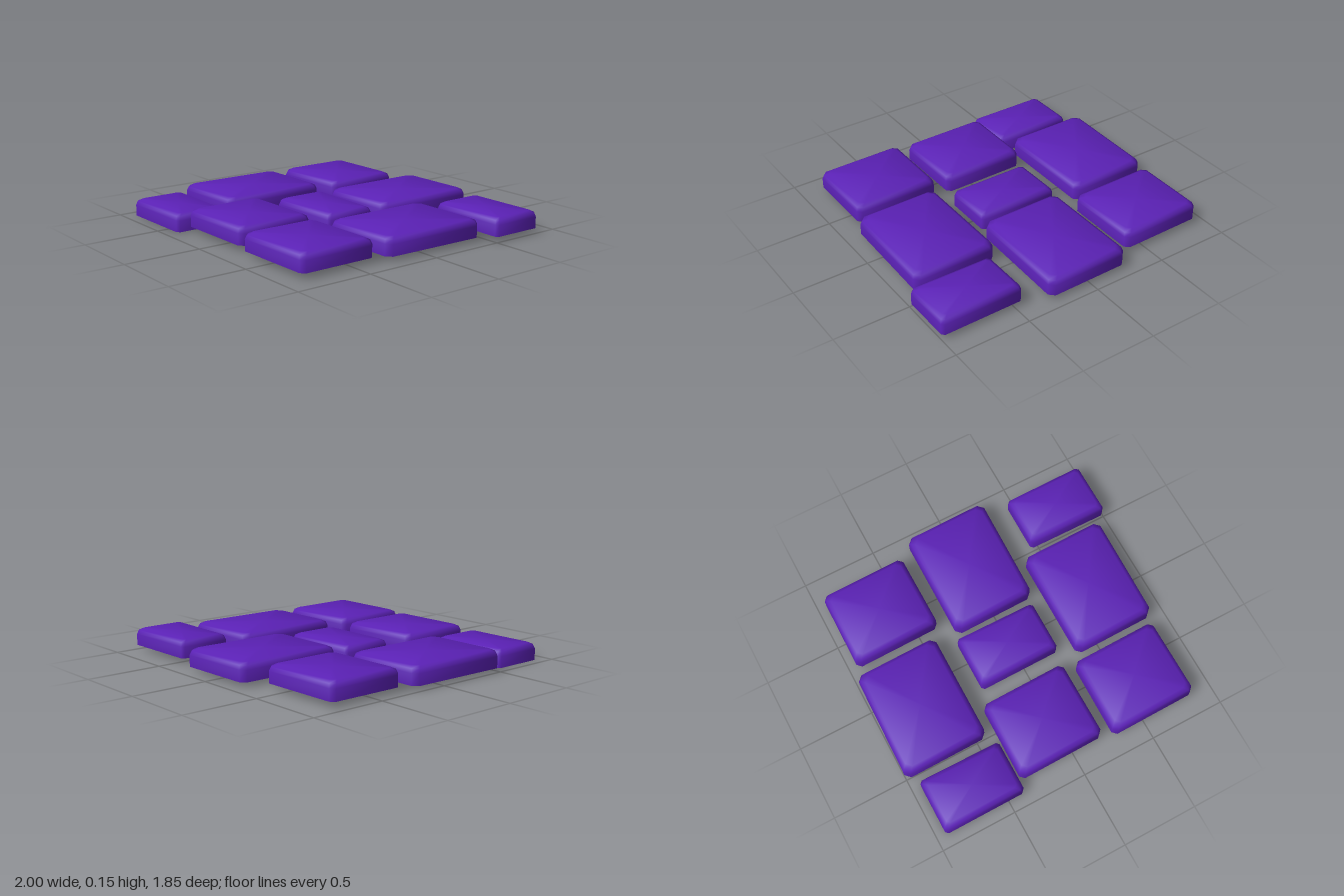
import * as THREE from 'three';

// Slightly irregular outlines: corners back-left, back-right, front-right, front-left (x, z)
const OUTLINES = {
  large: [[-0.282, -0.362], [0.287, -0.367], [0.272, 0.36], [-0.285, 0.366]],
  medium: [[-0.288, -0.257], [0.289, -0.264], [0.291, 0.257], [-0.293, 0.263]],
  small: [[-0.277, -0.179], [0.275, -0.171], [0.274, 0.177], [-0.277, 0.179]],
};
const CHAMFER = { large: 0.034, medium: 0.028, small: 0.018 };

// Rings from the open rim to the top: height, inset, upward tilt of the normal
const RINGS = [[0, 0, 0], [0.074, 0, 0.2], [0.1, 0.009, 0.8], [0.114, 0.034, 2.8]];

// Cuts each corner of the outline into two points
function chamferedOutline(corners, c) {
  const pts = [];
  corners.forEach(([x, z], i) => {
    const p = new THREE.Vector2(x, z);
    for (const [nx, nz] of [corners[(i + 3) % 4], corners[(i + 1) % 4]]) {
      const dir = new THREE.Vector2(nx, nz).sub(p).normalize();
      pts.push(p.clone().addScaledVector(dir, c));
    }
  });
  return pts;
}

// Hollow stone shell: walls, rounded shoulder and a flat, softly shaded top
function stoneGeometry(type) {
  const pts = chamferedOutline(OUTLINES[type], CHAMFER[type]);
  const n = pts.length;
  const position = [], normal = [], index = [];
  for (const [y, inset, tilt] of RINGS) {
    pts.forEach((p, i) => {
      position.push(p.x - Math.sign(p.x) * inset, y, p.y - Math.sign(p.y) * inset);
      const a = pts[(i + n - 1) % n], b = pts[(i + 1) % n];
      const d1 = p.clone().sub(a).normalize(), d2 = b.clone().sub(p).normalize();
      const t = d1.add(d2).normalize();
      const v = new THREE.Vector3(t.y, tilt, -t.x).normalize();
      normal.push(v.x, v.y, v.z);
    });
  }
  for (let r = 0; r < RINGS.length - 1; r++) {
    for (let i = 0; i < n; i++) {
      const a = r * n + i, b = r * n + (i + 1) % n;
      index.push(a, a + n, b, b, a + n, b + n);
    }
  }
  // Top
  const last = (RINGS.length - 1) * n, centre = RINGS.length * n;
  position.push(0, RINGS[RINGS.length - 1][0], 0);
  normal.push(0, 1, 0);
  for (let i = 0; i < n; i++) index.push(last + i, centre, last + (i + 1) % n);

  const g = new THREE.BufferGeometry();
  g.setAttribute('position', new THREE.Float32BufferAttribute(position, 3));
  g.setAttribute('normal', new THREE.Float32BufferAttribute(normal, 3));
  g.setIndex(index);
  return g;
}

// Stones: type, x, rim height, z, half turn
const STONES = [
  ['medium', -0.652, 0.036, -0.56, 0],
  ['large', 0.008, 0.03, -0.563, 0],
  ['small', 0.72, 0.034, -0.68, 1],
  ['large', 0.63, 0.03, -0.075, 0],
  ['small', -0.03, 0.02, 0.031, 0],
  ['large', -0.712, 0.028, 0.137, 1],
  ['small', -0.661, 0, 0.742, 0],
  ['medium', -0.08, 0.036, 0.585, 0],
  ['medium', 0.57, 0.036, 0.612, 0],
];

export function createModel() {
  const group = new THREE.Group();
  group.name = 'pavingStones';
  const material = new THREE.MeshStandardMaterial({ color: 0x5b21b6, side: THREE.DoubleSide });
  const shapes = {};
  for (const type of Object.keys(OUTLINES)) shapes[type] = stoneGeometry(type);
  STONES.forEach(([type, x, y, z, turned], i) => {
    const stone = new THREE.Mesh(shapes[type], material);
    stone.name = `${type}Stone${i + 1}`;
    stone.position.set(x, y, z);
    stone.rotation.y = turned * Math.PI;
    group.add(stone);
  });
  return group;
}
